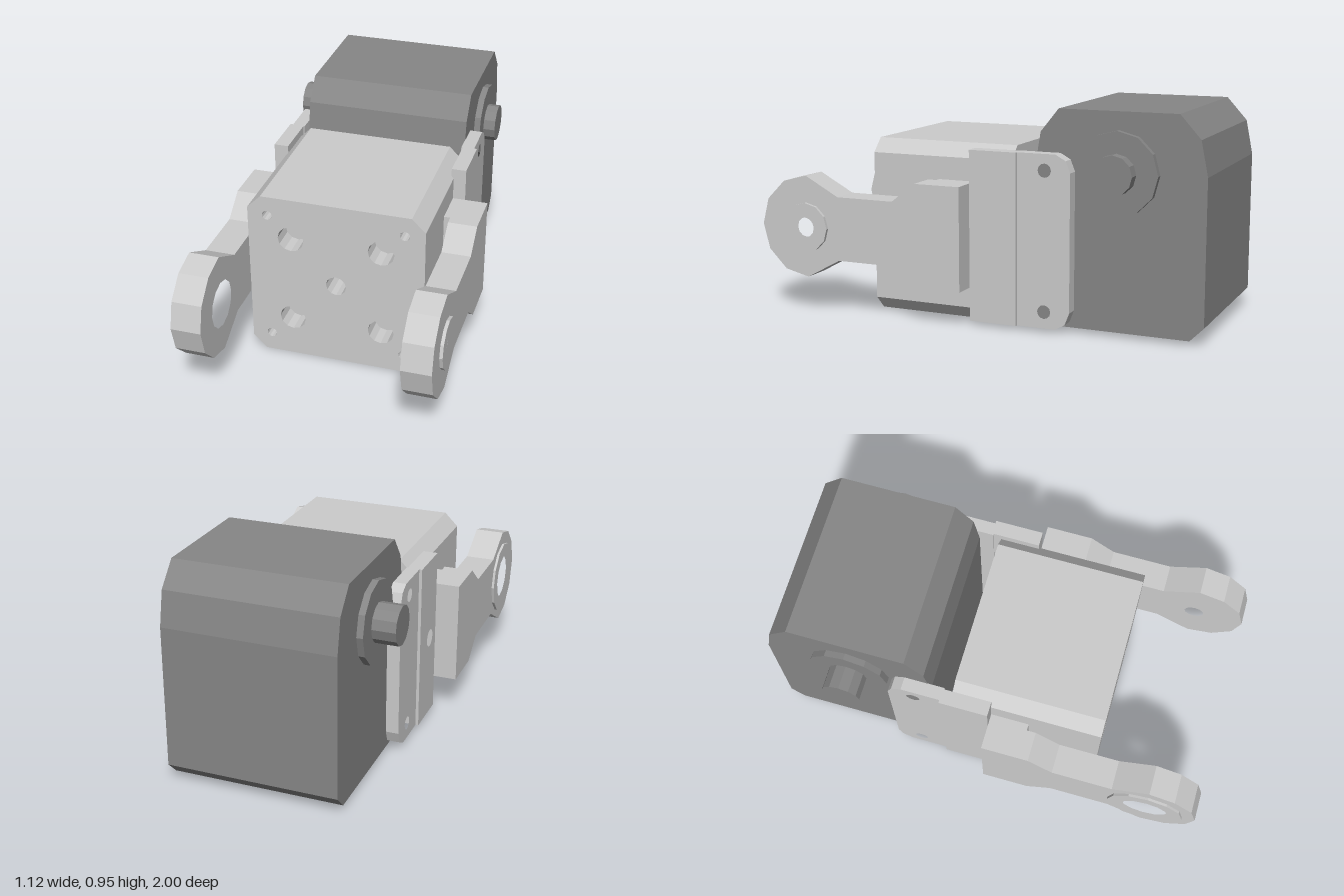
import * as THREE from 'three';

const light = new THREE.MeshStandardMaterial({ color: 0xcccccc, flatShading: true });
const dark = new THREE.MeshStandardMaterial({ color: 0x868686, flatShading: true });

// Regular polygon points around a centre
function ring(cx, cy, r, n = 12) {
  return Array.from({ length: n }, (_, i) => {
    const a = (i / n) * Math.PI * 2;
    return [cx + r * Math.cos(a), cy + r * Math.sin(a)];
  });
}

function slab(points, holes, depth) {
  const vec = (list) => list.map(([a, b]) => new THREE.Vector2(a, b));
  const shape = new THREE.Shape(vec(points));
  holes.forEach((h) => shape.holes.push(new THREE.Path(vec(h))));
  return new THREE.ExtrudeGeometry(shape, { depth, bevelEnabled: false });
}

function add(group, name, geometry, material) {
  const mesh = new THREE.Mesh(geometry, material);
  mesh.name = name;
  group.add(mesh);
}

// Outline in (z, y), extruded across x from x0 to x1
function sideSlab(points, holes, x0, x1) {
  const flip = (list) => list.map(([z, y]) => [-z, y]);
  return slab(flip(points), holes.map(flip), x1 - x0).rotateY(Math.PI / 2).translate(x0, 0, 0);
}

// Outline in (x, y), extruded along z from z0 to z1
function frontSlab(points, holes, z0, z1) {
  return slab(points, holes, z1 - z0).translate(0, 0, z0);
}

export function createModel() {
  const model = new THREE.Group();
  model.name = 'jointModule';

  // Rear housing with its axle and washers
  const housing = new THREE.Group();
  housing.name = 'rearHousing';
  model.add(housing);
  add(housing, 'housingBody', sideSlab([
    [-0.255, 0.02], [-0.255, 0.7], [-0.28, 0.85], [-0.36, 0.95], [-0.88, 0.95],
    [-0.97, 0.85], [-1, 0.7], [-1, 0.08], [-0.94, 0.02],
  ], [], -0.375, 0.375), dark);
  add(housing, 'axleWashers', sideSlab(ring(-0.625, 0.695, 0.178), [], -0.403, 0.403), dark);
  add(housing, 'axlePin', sideSlab(ring(-0.625, 0.695, 0.085), [], -0.505, 0.457), dark);

  // Front block in slices: blind holes at both ends, a thin slot below
  const block = new THREE.Group();
  block.name = 'frontBlock';
  model.add(block);
  const outline = [
    [-0.33, 0], [0.33, 0], [0.39, 0.06], [0.39, 0.72],
    [0.33, 0.78], [-0.33, 0.78], [-0.39, 0.72], [-0.39, 0.06],
  ];
  const notched = [[-0.33, 0], [-0.12, 0], [-0.12, 0.04], [0.12, 0.04], [0.12, 0], ...outline.slice(1)];
  const bore = ring(0, 0.39, 0.045);
  const corners = [[1, 1], [-1, 1], [-1, -1], [1, -1]];
  const around = (d, r) => corners.map(([a, b]) => ring(a * d, 0.39 + b * d, r));
  const screws = around(0.302, 0.022);
  add(block, 'blockFace', frontSlab(outline, [bore, ...screws, ...around(0.2, 0.058)], 0.41, 0.51), light);
  add(block, 'blockFront', frontSlab(outline, [bore], 0.37, 0.41), light);
  add(block, 'blockSlot', frontSlab(notched, [bore], 0.35, 0.37), light);
  add(block, 'blockMiddle', frontSlab(outline, [bore], -0.075, 0.35), light);
  add(block, 'blockBack', frontSlab(outline, [bore, ...screws], -0.155, -0.075), light);

  // Mirrored brackets and arms; the bearing differs per side
  const armOutline = [
    [0.19, 0.165], [0.23, 0.165], [0.34, 0.25], [0.61, 0.25], [0.77, 0.163], [0.885, 0.19],
    [0.97, 0.275], [1, 0.39], [0.97, 0.505], [0.885, 0.59], [0.77, 0.62], [0.61, 0.535],
    [0.34, 0.535], [0.23, 0.62], [0.19, 0.62],
  ];
  const rootOutline = [[0.02, 0.165], [0.19, 0.165], [0.19, 0.62], [0.02, 0.62]];
  const bracketOutline = [[0.02, 0.018], [0.02, 0.765], [-0.197, 0.765], [-0.197, 0.018]];
  const plateOutline = [
    [-0.19, 0.018], [-0.19, 0.765], [-0.37, 0.765], [-0.415, 0.74], [-0.435, 0.69],
    [-0.435, 0.095], [-0.415, 0.043], [-0.37, 0.018],
  ];
  const sides = [
    { sign: 1, name: 'left', bearing: 0.11, hole: 0.045, outer: 0.546 },
    { sign: -1, name: 'right', bearing: 0.17, hole: 0.105, outer: 0.549 },
  ];
  for (const { sign, name, bearing, hole, outer } of sides) {
    const side = new THREE.Group();
    side.name = name + 'Side';
    model.add(side);
    const part = (label, points, holes, a, b) => add(side, name + label,
      sideSlab(points, holes, Math.min(sign * a, sign * b), Math.max(sign * a, sign * b)), light);
    const eye = ring(0.772, 0.39, hole);
    part('Arm', armOutline, [eye], 0.418, outer);
    part('ArmRoot', rootOutline, [], 0.385, outer);
    part('Bearing', ring(0.772, 0.39, bearing), [eye], outer - 0.002, 0.56);
    part('Bracket', bracketOutline, [ring(-0.06, 0.39, 0.04)], 0.38, 0.445);
    part('Plate', plateOutline, [ring(-0.32, 0.09, 0.03), ring(-0.32, 0.695, 0.03)], 0.374, 0.432);
  }
  return model;
}
